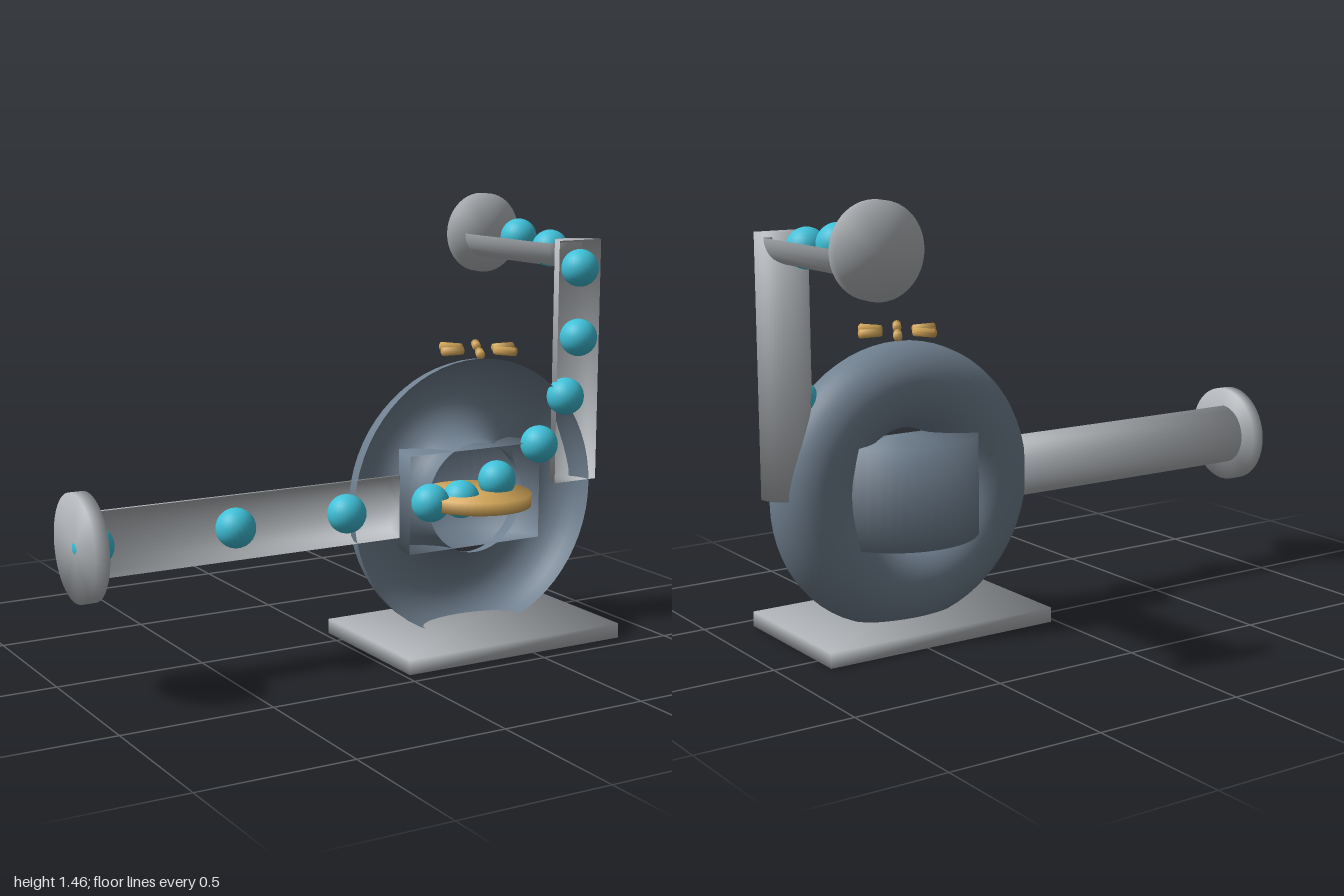
import * as THREE from 'three';

const CUT = 0.175; // z of the cutaway plane
const CX = 0.44, CY = 0.48; // centre of the casing

function material(name, color, side = THREE.FrontSide) {
  const m = new THREE.MeshStandardMaterial({ color, side });
  m.name = name;
  return m;
}

// Average the distinct normals that meet at each corner, for soft edges
function soften(geometry) {
  const pos = geometry.attributes.position, nor = geometry.attributes.normal;
  const key = (a, i) => [a.getX(i), a.getY(i), a.getZ(i)].map((v) => Math.round(v * 1e4)).join();
  const corners = new Map();
  for (let i = 0; i < pos.count; i++) {
    const k = key(pos, i);
    if (!corners.has(k)) corners.set(k, new Map());
    corners.get(k).set(key(nor, i), new THREE.Vector3().fromBufferAttribute(nor, i));
  }
  const soft = nor.clone();
  for (let i = 0; i < pos.count; i++) {
    const n = new THREE.Vector3();
    for (const v of corners.get(key(pos, i)).values()) n.add(v);
    if (n.lengthSq() > 1e-6) n.normalize();
    else n.fromBufferAttribute(nor, i);
    soft.setXYZ(i, n.x, n.y, n.z);
  }
  geometry.setAttribute('normal', soft);
  return geometry;
}

const disc = (r, h, sides = 48) => soften(new THREE.CylinderGeometry(r, r, h, sides));

// Upright half cylinder with end caps, its open side facing +z
const halfPipe = (r, h) =>
  soften(new THREE.CylinderGeometry(r, r, h, 24, 1, false, Math.PI / 2, Math.PI));

export function createModel() {
  const model = new THREE.Group();
  model.name = 'cutawayPump';

  const metal = material('light metal', 0xb2b6ba);
  const pipeMetal = metal;
  pipeMetal.side = THREE.DoubleSide;
  const casing = material('casing slate', 0x708090, THREE.DoubleSide);
  const brass = material('brass', 0xd9ab5c);
  const fluid = material('fluid cyan', 0x3fc1d9);

  function add(name, geometry, mat, x, y, z, parent = model) {
    const mesh = new THREE.Mesh(geometry, mat);
    mesh.name = name;
    mesh.position.set(x, y, z);
    parent.add(mesh);
    return mesh;
  }

  // Base plate
  add('base', soften(new THREE.BoxGeometry(0.83, 0.05, 0.53)), metal, 0.435, 0.025, CUT);

  // Ring casing: back half of a torus, open at the cut
  const section = [];
  for (let i = 0; i <= 16; i++) {
    const a = -Math.PI + (i / 16) * Math.PI;
    section.push(new THREE.Vector2(0.33 + 0.142 * Math.cos(a), 0.142 * Math.sin(a)));
  }
  add('ringCasing', new THREE.LatheGeometry(section, 64).rotateX(Math.PI / 2), casing, CX, CY, CUT);

  // Inner chamber behind the rotor
  add('innerChamber', halfPipe(0.26, 0.332), casing, CX, CY, CUT);

  // Rotor disc
  add('rotorDisc', disc(0.186, 0.042), brass, CX, CY, CUT);

  // Inlet pipe and flange
  add('inletPipe', halfPipe(0.105, 1.115).rotateZ(Math.PI / 2), pipeMetal, -0.4175, 0.482, CUT);
  add('inletFlange', disc(0.169, 0.046).rotateZ(Math.PI / 2), metal, -0.975, 0.482, CUT);

  // Riser, outlet pipe and flange
  add('riserPipe', halfPipe(0.087, 0.835), pipeMetal, 0.853, 0.9125, CUT);
  add('outletPipe', halfPipe(0.087, 0.52).rotateX(-Math.PI / 2), pipeMetal, 0.853, 1.317, -0.15);
  add('outletFlange', disc(0.143, 0.04).rotateX(Math.PI / 2), metal, 0.856, 1.317, -0.422);

  // Fluid beads along the flow path
  const beads = new THREE.Group();
  beads.name = 'fluidBeads';
  model.add(beads);
  const path = [
    [-0.937, 0.482], [-0.46, 0.482], [-0.06, 0.482], [0.26, 0.482], [0.38, 0.482],
    [0.525, 0.535], [0.697, 0.64], [0.803, 0.797], [0.853, 0.997], [0.853, 1.235],
    [0.853, 1.29, 0], [0.853, 1.317, -0.19],
  ];
  const bead = new THREE.SphereGeometry(0.064, 24, 16);
  for (const [x, y, z = CUT] of path) add('bead', bead, fluid, x, y, z, beads);

  // Six small rods radiating above the casing
  const rods = new THREE.Group();
  rods.name = 'radialRods';
  rods.position.set(CX, 0.985, CUT);
  model.add(rods);
  const rod = disc(0.0145, 0.075, 12).rotateZ(Math.PI / 2);
  for (let i = 0; i < 6; i++) {
    const a = (i * Math.PI) / 3;
    add('rod', rod, brass, 0.1 * Math.cos(a), 0, -0.1 * Math.sin(a), rods).rotation.y = a;
  }

  return model;
}
